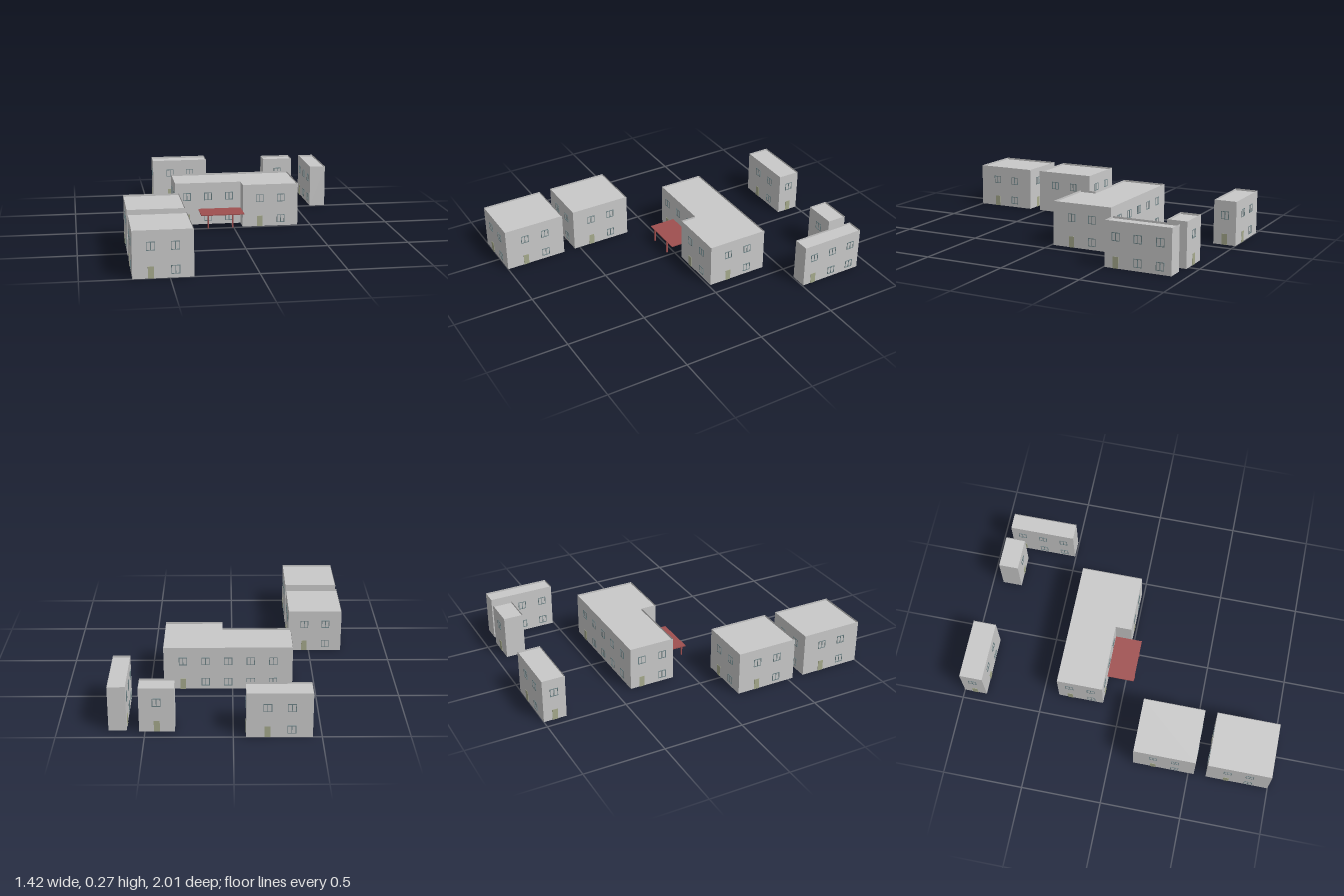
import * as THREE from 'three';

const HEIGHT = 0.274, ROOF = 0.262, STOREY = 0.135, BAY = 0.1365;

const mat = (name, color, side = THREE.FrontSide) => {
  const m = new THREE.MeshStandardMaterial({ color, side });
  m.name = name;
  return m;
};

export function createModel() {
  const wall = mat('pale grey wall', 0xc9c9c9, THREE.DoubleSide);
  const frame = mat('slate window frame', 0x6f8488);
  const door = mat('olive door', 0xa5a98c);
  const red = mat('red canopy', 0x9f4f4f);

  const add = (parent, name, geometry, material, x = 0, y = 0, z = 0) => {
    const mesh = new THREE.Mesh(geometry, material);
    mesh.name = name;
    mesh.position.set(x, y, z);
    parent.add(mesh);
    return mesh;
  };
  const box = (w, h, d) => new THREE.BoxGeometry(w, h, d);

  // Window frame: two stiles, a mullion and two rails, seen from both sides of the wall
  const stile = box(0.004, 0.05, 0.005), rail = box(0.05, 0.004, 0.005);
  const doorPlate = box(0.034, 0.068, 0.005);
  function addWindow(parent, x, y) {
    const g = new THREE.Group();
    g.name = 'window';
    g.position.set(x, y, 0);
    for (const sx of [-0.023, 0, 0.023]) add(g, 'windowStile', stile, frame, sx);
    for (const sy of [-0.023, 0.023]) add(g, 'windowRail', rail, frame, 0, sy);
    parent.add(g);
  }

  // One wall between two ground corners, with evenly spaced bays and a door in the first
  function addFacade(parent, [x0, z0], [x1, z1]) {
    const g = new THREE.Group();
    const length = Math.hypot(x1 - x0, z1 - z0);
    g.name = 'facade';
    g.position.set((x0 + x1) / 2, 0, (z0 + z1) / 2);
    g.rotation.y = Math.atan2(z0 - z1, x1 - x0);
    add(g, 'wall', new THREE.PlaneGeometry(length, HEIGHT), wall, 0, HEIGHT / 2);
    const bays = Math.floor(length / BAY);
    for (let i = 0; i < bays; i++) {
      const x = (i - (bays - 1) / 2) * BAY;
      addWindow(g, x, 0.184);
      if (i === 0) add(g, 'door', doorPlate, door, x, 0.034);
      else addWindow(g, x, 0.047);
    }
    parent.add(g);
  }

  // Hollow building: walls around the corners, a sunken flat roof and an upper floor
  function addBuilding(parent, name, corners) {
    const g = new THREE.Group();
    g.name = name;
    corners.forEach((c, i) => addFacade(g, c, corners[(i + 1) % corners.length]));
    const plan = new THREE.Shape(corners.map(([x, z]) => new THREE.Vector2(x, -z)));
    const slab = new THREE.ShapeGeometry(plan).rotateX(-Math.PI / 2);
    add(g, 'roof', slab, wall, 0, ROOF);
    add(g, 'upperFloor', slab, wall, 0, STOREY);
    parent.add(g);
  }
  const rect = (x0, x1, z0, z1) => [[x0, z1], [x1, z1], [x1, z0], [x0, z0]];

  const model = new THREE.Group();
  model.name = 'buildingComplex';
  addBuilding(model, 'frontBlock', rect(-0.708, -0.367, 0.61, 1));
  addBuilding(model, 'middleBlock', rect(-0.708, -0.367, 0.15, 0.535));
  addBuilding(model, 'rearLongBlock', rect(-0.447, -0.072, -1, -0.857));
  addBuilding(model, 'rearSmallBlock', rect(0.331, 0.533, -0.933, -0.81));
  addBuilding(model, 'rearNarrowBlock', rect(0.605, 0.708, -0.918, -0.507));
  addBuilding(model, 'mainBlock', [
    [-0.363, -0.114], [0.06, -0.114], [0.06, -0.014],
    [0.417, -0.014], [0.417, -0.4], [-0.363, -0.4],
  ]);

  // Entrance canopy on two posts
  const canopy = new THREE.Group();
  canopy.name = 'canopy';
  add(canopy, 'canopyRoof', box(0.275, 0.006, 0.169), red, -0.0775, 0.1, -0.0295);
  for (const x of [-0.17, -0.015]) {
    add(canopy, 'canopyPost', box(0.009, 0.085, 0.009), red, x, 0.0565, 0.049);
  }
  model.add(canopy);
  return model;
}
